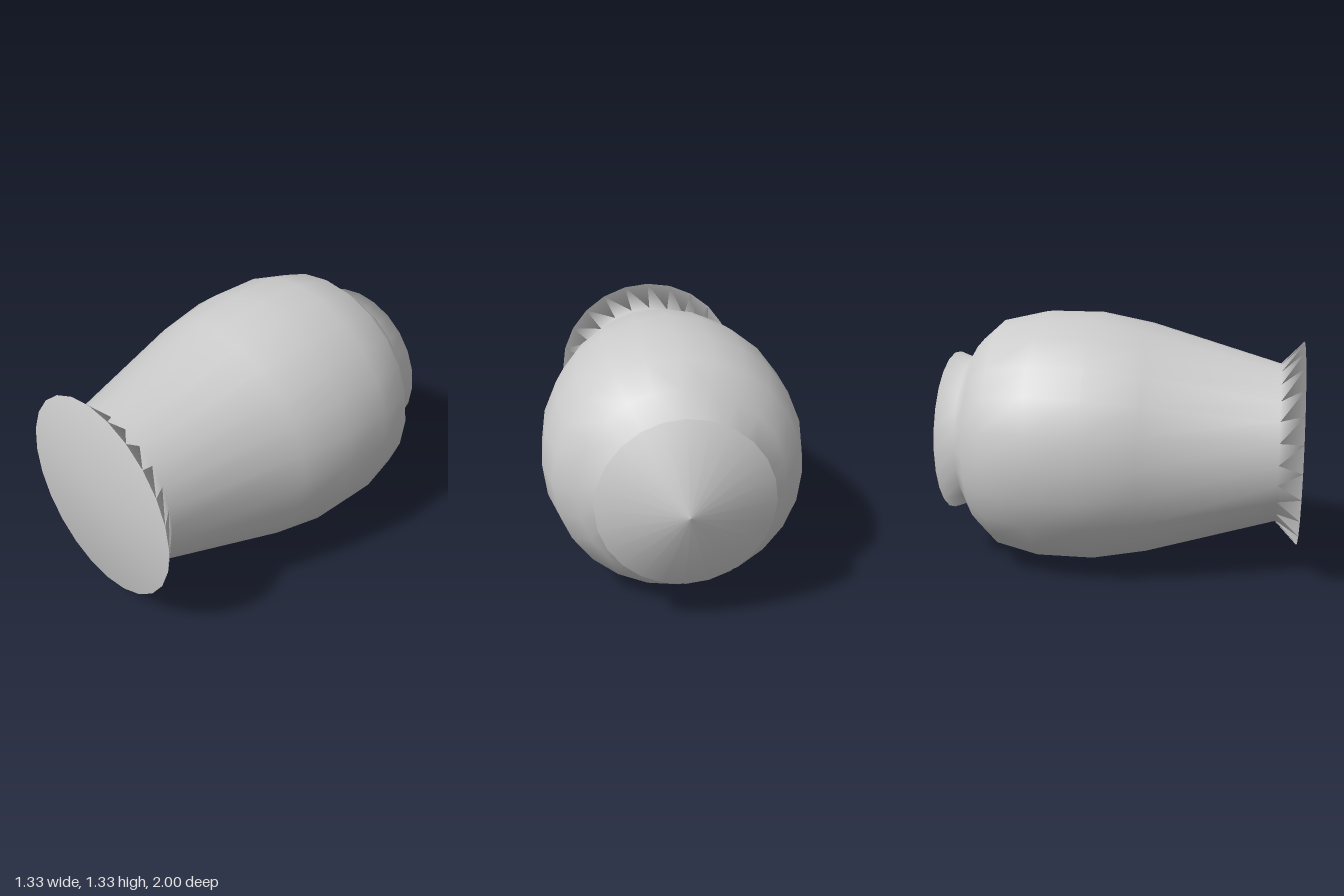
import * as THREE from 'three';

// Urn lying on its side: its axis runs along z, with the foot at the front.
export function createModel() {
  const group = new THREE.Group();
  group.name = 'urn';

  // Profile as (radius, position along the axis), from the lid's tip to the foot
  const profile = [
    [0, -1], [0.43, -0.862],                              // pointed lid
    [0.395, -0.767],                                      // neck
    [0.51, -0.695], [0.615, -0.576], [0.667, -0.35],      // shoulder
    [0.667, -0.07], [0.615, 0.205],                       // belly
    [0.417, 0.885],                                       // ankle
    [0.535, 1], [0, 1],                                   // flared foot and flat base
  ].map(([r, z]) => new THREE.Vector2(r, z));

  const geometry = new THREE.LatheGeometry(profile, 24);
  geometry.rotateX(Math.PI / 2); // lay the upright axis along z

  const vessel = new THREE.Mesh(geometry, new THREE.MeshStandardMaterial({ color: 0xcccccc }));
  vessel.name = 'vessel';
  vessel.position.y = 0.667;
  group.add(vessel);
  return group;
}
